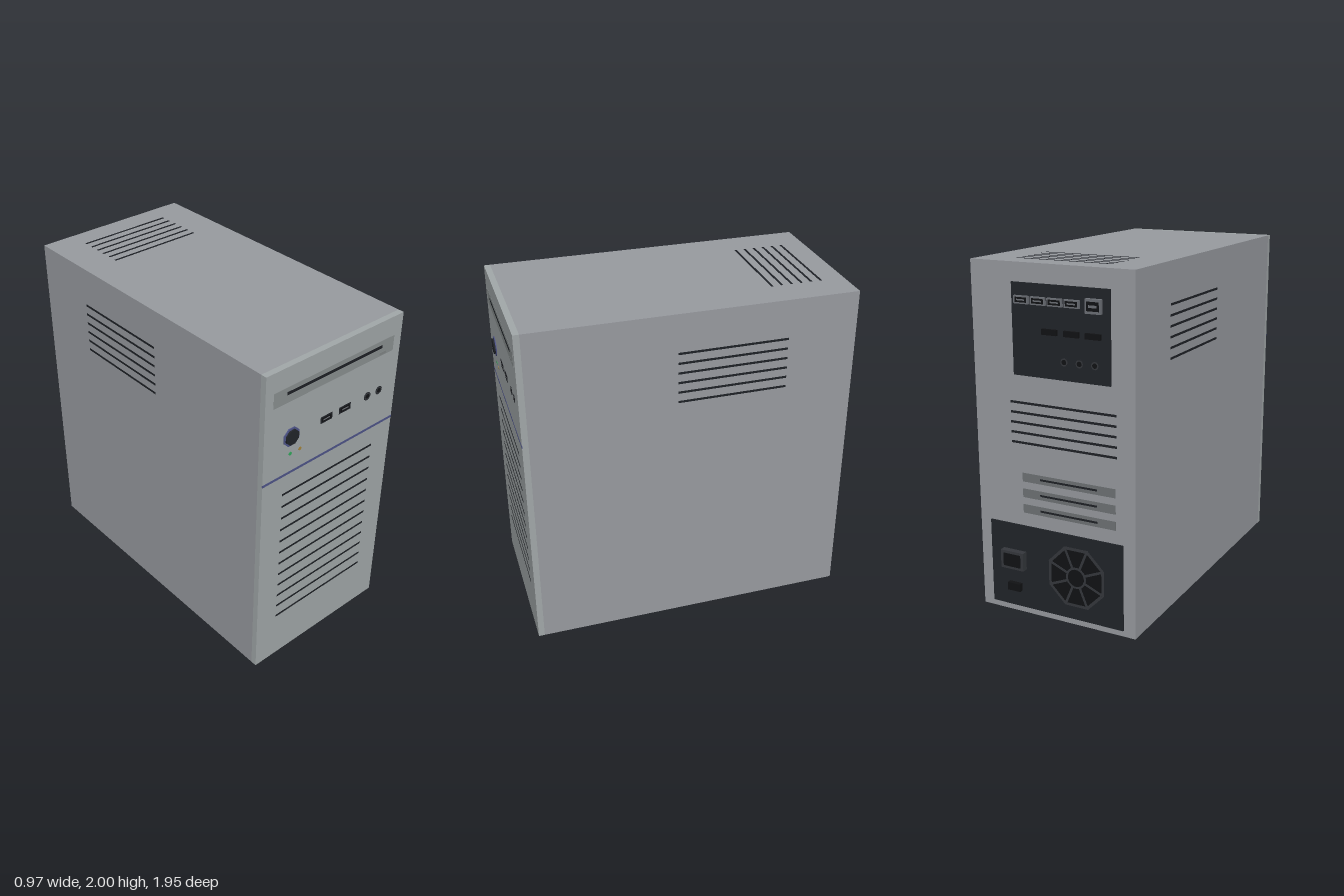
import * as THREE from 'three';

const mat = (color, side = THREE.FrontSide) => new THREE.MeshStandardMaterial({ color, side });
const PANEL = mat(0xa1a7a8);
const SHELL = mat(0x979a9f, THREE.DoubleSide);
const BAY = mat(0x898f8f);
const BUTTON = mat(0x7f8585);
const COVER = mat(0x6e7274);
const DARK = mat(0x212429);
const RIM = mat(0x34373c);
const SLOT = mat(0x1e2126);
const BLACK = mat(0x111214);
const METAL = mat(0x6c7076);
const BLUE = mat(0x4e5488);
const GREEN = mat(0x2fa85a);
const AMBER = mat(0xa5843a);

function add(parent, name, geometry, material, x = 0, y = 0, z = 0) {
  const mesh = new THREE.Mesh(geometry, material);
  mesh.name = name;
  mesh.position.set(x, y, z);
  parent.add(mesh);
  return mesh;
}

// Box on a face: centre x, y, size w, h, reaching from depth z0 out to z1
function block(parent, name, x, y, w, h, z0, z1, material) {
  return add(parent, name, new THREE.BoxGeometry(w, h, z1 - z0), material, x, y, (z0 + z1) / 2);
}

// Disc on a face, its axis along z
function disc(parent, name, x, y, r, z0, z1, material, sides = 16) {
  const g = new THREE.CylinderGeometry(r, r, z1 - z0, sides).rotateX(Math.PI / 2).rotateZ(Math.PI / sides);
  return add(parent, name, g, material, x, y, (z0 + z1) / 2);
}

// Row of equal horizontal slots between two heights, almost flush
function slots(parent, name, count, x, y0, y1, w) {
  for (let i = 0; i < count; i++) {
    block(parent, name, x, y0 + (y1 - y0) * i / (count - 1), w, 0.013, -0.004, 0.001, SLOT);
  }
}

function faceGroup(root, name, x, y, z, rx, ry) {
  const g = new THREE.Group();
  g.name = name;
  g.position.set(x, y, z);
  g.rotation.set(rx, ry, 0);
  root.add(g);
  return g;
}

// Socket: a frame with a dark opening and a tongue
function socket(parent, name, x, y, w, h, depth, frame) {
  block(parent, name, x, y, w, h, 0, depth, frame);
  block(parent, name + 'Opening', x, y, w * 0.8, h * 0.64, depth - 0.002, depth + 0.001, BLACK);
  block(parent, name + 'Tongue', x, y, w * 0.55, h * 0.18, depth, depth + 0.002, METAL);
}

// Round audio jack with a rim and a hole
function jack(parent, x, y, depth) {
  disc(parent, 'audioJack', x, y, 0.025, 0, depth, DARK);
  disc(parent, 'audioJackRim', x, y, 0.021, 0, depth + 0.001, RIM);
  disc(parent, 'audioJackHole', x, y, 0.014, 0, depth + 0.002, BLACK, 12);
}

function buildCase(root) {
  const W = 0.97, H = 1.965, D = 1.85, yMid = 0.035 + H / 2;
  // Thin shell, open underneath
  for (const s of [1, -1]) {
    const side = add(root, 'sidePanel', new THREE.PlaneGeometry(D, H), SHELL, s * W / 2, yMid, 0);
    side.rotation.y = s * Math.PI / 2;
  }
  const back = add(root, 'backPanel', new THREE.PlaneGeometry(W, H), SHELL, 0, yMid, -D / 2);
  back.rotation.y = Math.PI;
  add(root, 'topPanel', new THREE.PlaneGeometry(W, D).rotateX(-Math.PI / 2), SHELL, 0, 2, 0);
  block(root, 'frontPanel', 0, yMid, W, H, D / 2, 0.96, PANEL);

  // Hollow square feet
  const square = (r) => [[-r, -r], [r, -r], [r, r], [-r, r]].map(([a, b]) => new THREE.Vector2(a, b));
  const outline = new THREE.Shape(square(0.055));
  outline.holes.push(new THREE.Path(square(0.033)));
  const rim = new THREE.ExtrudeGeometry(outline, { depth: 0.035, bevelEnabled: false }).rotateX(-Math.PI / 2);
  for (const x of [-0.345, 0.345]) {
    for (const z of [0.7, -0.67]) {
      add(root, 'foot', rim, DARK, x, 0, z);
      add(root, 'footPad', new THREE.BoxGeometry(0.07, 0.02, 0.07), BLACK, x, 0.025, z);
    }
  }
}

function buildFront(root) {
  const f = faceGroup(root, 'frontControls', 0, 0, 0.96, 0, 0);
  // Disc drive
  block(f, 'driveBay', 0, 1.84, 0.86, 0.09, -0.01, 0.001, BAY);
  block(f, 'driveSlot', 0, 1.849, 0.68, 0.018, 0, 0.002, SLOT);
  block(f, 'ejectButton', 0.35, 1.808, 0.05, 0.014, 0, 0.002, BUTTON);
  // Power button and lights
  disc(f, 'powerRing', -0.298, 1.577, 0.057, 0, 0.006, BLUE, 8);
  disc(f, 'powerButton', -0.298, 1.577, 0.046, 0, 0.015, DARK, 8);
  disc(f, 'powerLight', -0.298, 1.47, 0.011, 0, 0.002, GREEN, 8);
  disc(f, 'driveLight', -0.23, 1.47, 0.011, 0, 0.002, AMBER, 8);
  // Sockets
  for (const x of [-0.046, 0.09]) socket(f, 'frontSocket', x, 1.576, 0.085, 0.04, 0.002, DARK);
  for (const x of [0.262, 0.352]) jack(f, x, 1.576, 0.001);
  block(f, 'accentStripe', 0, 1.35, 0.97, 0.015, -0.004, 0.001, BLUE);
  slots(f, 'frontVent', 12, 0, 0.342, 1.222, 0.68);
}

function buildVents(root) {
  for (const s of [1, -1]) {
    const g = faceGroup(root, 'sideVents', s * 0.485, 0, -0.212, 0, s * Math.PI / 2);
    slots(g, 'sideVent', 6, 0, 1.483, 1.772, 0.625);
  }
  const t = faceGroup(root, 'topVents', 0, 2, 0, -Math.PI / 2, 0);
  slots(t, 'topVent', 6, 0, 0.497, 0.785, 0.575);
}

function buildBack(root) {
  const b = faceGroup(root, 'backFittings', 0, 0, -0.925, 0, Math.PI);
  // Connector panel
  block(b, 'connectorPanel', 0.06, 1.653, 0.58, 0.49, -0.004, 0.008, DARK);
  for (const x of [-0.165, -0.065, 0.035, 0.135]) socket(b, 'backSocket', x, 1.81, 0.088, 0.042, 0.022, METAL);
  socket(b, 'networkSocket', 0.262, 1.808, 0.09, 0.075, 0.03, METAL);
  for (const x of [0.0, 0.13, 0.255]) {
    block(b, 'displaySocket', x, 1.655, 0.088, 0.03, 0, 0.024, BLACK);
  }
  for (const x of [0.08, 0.17, 0.26]) jack(b, x, 1.505, 0.009);

  slots(b, 'backVent', 5, 0.058, 1.035, 1.257, 0.64);

  // Expansion slot covers
  for (const y of [0.84, 0.75, 0.66]) {
    block(b, 'slotCover', 0.085, y, 0.57, 0.05, -0.004, 0.001, COVER);
    block(b, 'slotCoverGroove', 0.085, y, 0.35, 0.011, 0, 0.002, SLOT);
  }

  // Power supply
  block(b, 'powerSupply', 0, 0.315, 0.83, 0.49, -0.004, 0.008, DARK);
  block(b, 'powerInlet', -0.26, 0.355, 0.145, 0.105, 0, 0.043, RIM);
  block(b, 'powerInletOpening', -0.26, 0.355, 0.11, 0.075, 0.04, 0.045, BLACK);
  block(b, 'powerSwitch', -0.26, 0.19, 0.08, 0.045, 0, 0.033, BLACK);

  // Fan with an eight-sided rim, spokes and hub
  const fx = 0.13, fy = 0.318;
  disc(b, 'fanRim', fx, fy, 0.186, 0, 0.009, RIM, 8);
  disc(b, 'fanOpening', fx, fy, 0.168, 0, 0.01, BLACK, 8);
  for (let i = 0; i < 4; i++) {
    const spoke = block(b, 'fanSpoke', fx, fy, 0.34, 0.014, 0.008, 0.011, RIM);
    spoke.rotation.z = i * Math.PI / 4 + Math.PI / 8;
  }
  disc(b, 'fanHubRing', fx, fy, 0.062, 0, 0.012, RIM);
  disc(b, 'fanHub', fx, fy, 0.05, 0, 0.013, BLACK);
}

export function createModel() {
  const root = new THREE.Group();
  root.name = 'computerTower';
  buildCase(root);
  buildFront(root);
  buildVents(root);
  buildBack(root);
  return root;
}
